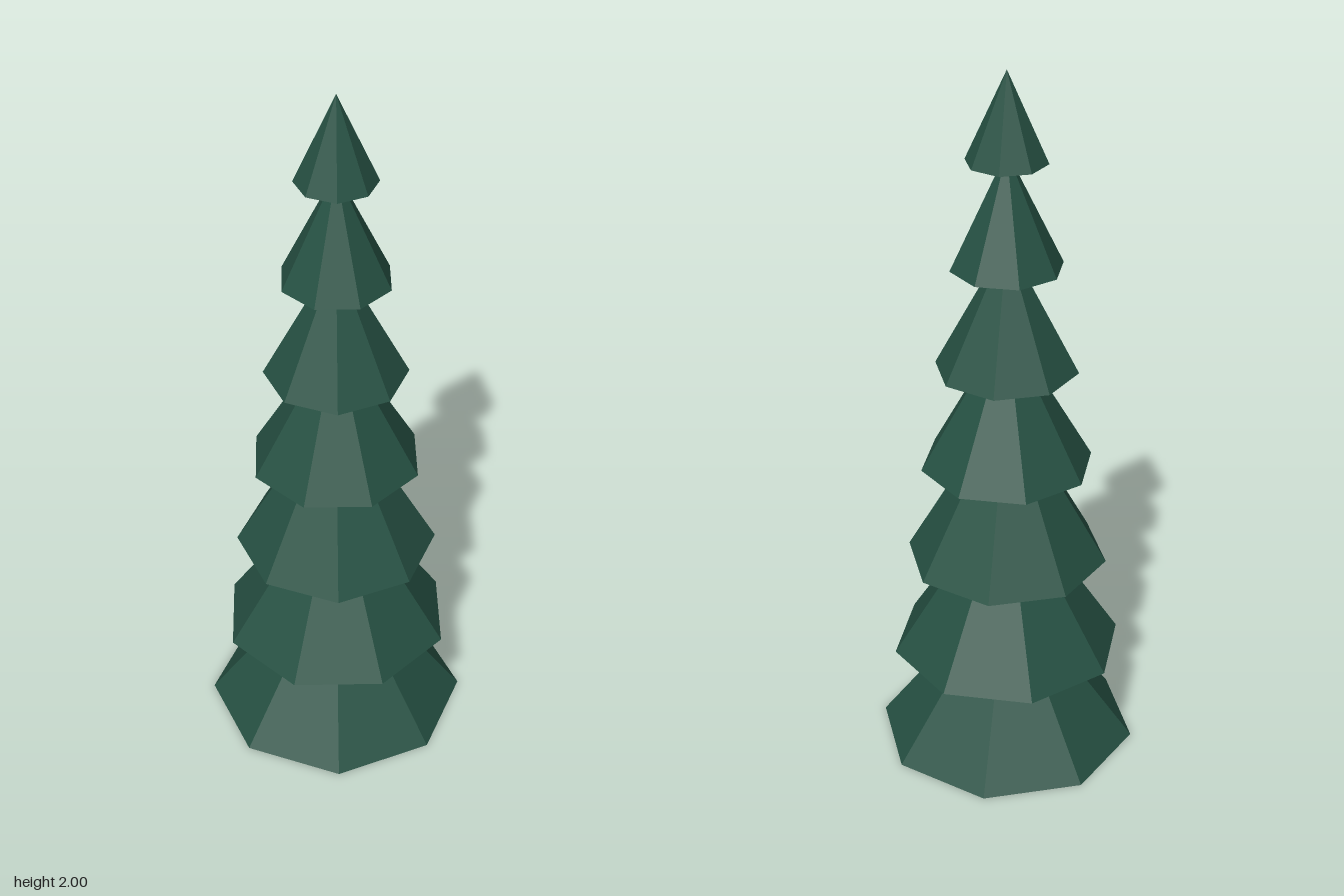
import * as THREE from 'three';

// Each tier of foliage: [base height, apex height, corner radius]
const TIERS = [
  [0, 0.49, 0.367],
  [0.295, 0.8, 0.325],
  [0.588, 1.08, 0.281],
  [0.88, 1.3, 0.239],
  [1.17, 1.54, 0.196],
  [1.465, 1.785, 0.153],
  [1.757, 2, 0.11],
];
const SIDES = 8;

export function createModel() {
  const tree = new THREE.Group();
  tree.name = 'pineTree';
  const foliage = new THREE.MeshStandardMaterial({ color: 0x265143, flatShading: true });

  // Stacked eight-sided cones, every second one turned by half a side
  TIERS.forEach(([base, apex, radius], i) => {
    const height = apex - base;
    const tier = new THREE.Mesh(new THREE.ConeGeometry(radius, height, SIDES), foliage);
    tier.name = `foliageTier${i + 1}`;
    tier.position.y = base + height / 2;
    tier.rotation.y = (i % 2) * Math.PI / SIDES;
    tree.add(tier);
  });

  return tree;
}
